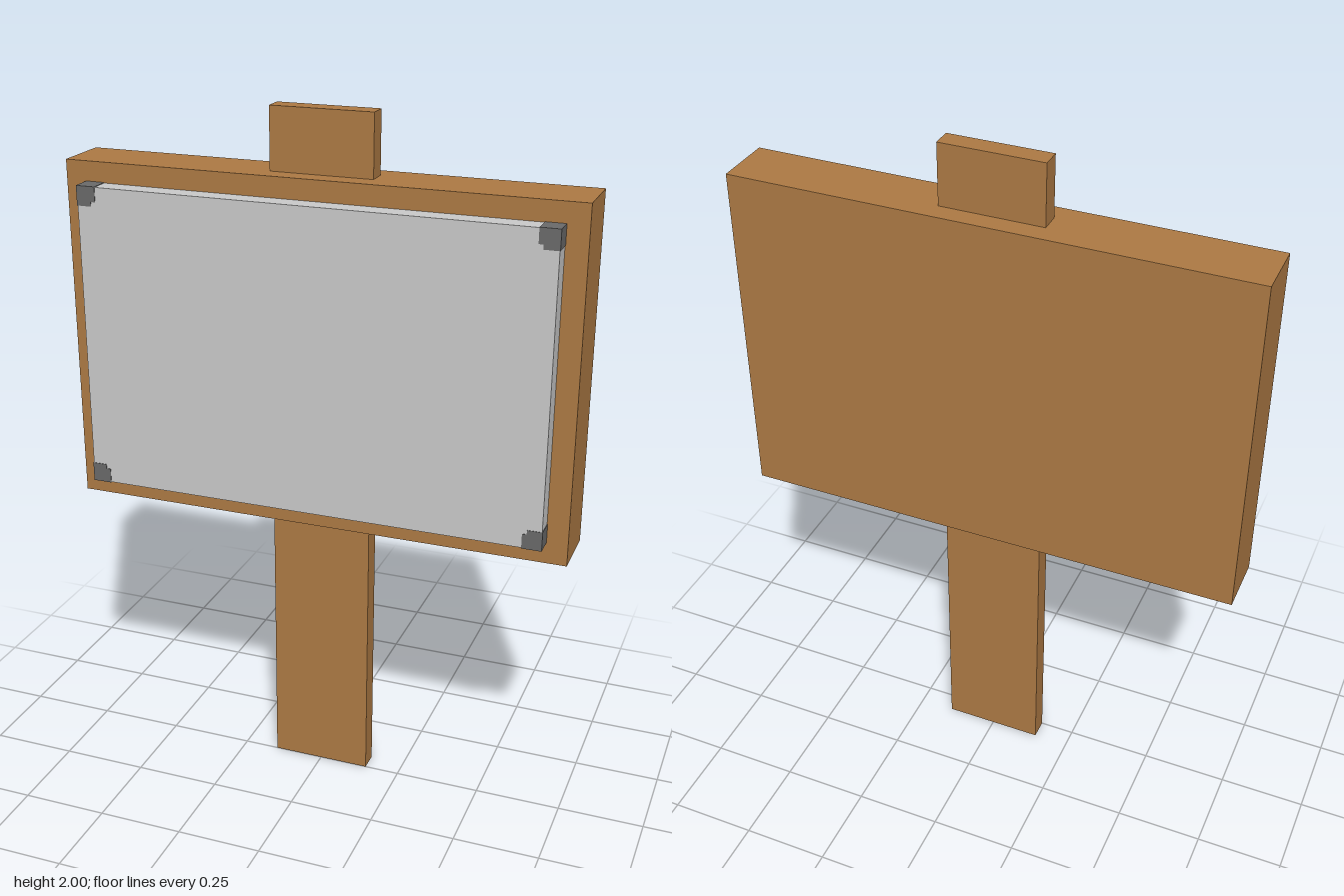
import * as THREE from 'three';

export function createModel() {
  const model = new THREE.Group();
  model.name = 'signpost';
  const material = (name, color) => {
    const m = new THREE.MeshStandardMaterial({ color });
    m.name = name;
    return m;
  };
  const wood = material('wood', 0xad7a44);
  const paper = material('pale grey', 0xcacaca);
  const metal = material('dark grey', 0x6a6a6a);

  // Box given by its lower and upper limits on each axis
  const box = (name, mat, [x0, x1], [y0, y1], [z0, z1]) => {
    const mesh = new THREE.Mesh(new THREE.BoxGeometry(x1 - x0, y1 - y0, z1 - z0), mat);
    mesh.position.set((x0 + x1) / 2, (y0 + y1) / 2, (z0 + z1) / 2);
    mesh.name = name;
    model.add(mesh);
  };

  // Post running behind the board, the board itself and the raised sheet
  box('post', wood, [-0.147, 0.147], [0, 2], [-0.057, 0]);
  box('board', wood, [-0.735, 0.735], [0.825, 1.825], [-0.115, 0.057]);
  box('sheet', paper, [-0.674, 0.674], [0.888, 1.767], [0.05, 0.114]);

  // Corner brackets, each with a small notch on its inner corner
  const s = 0.056, n = 0.013;
  for (const sx of [-1, 1]) {
    for (const sy of [-1, 1]) {
      const corner = [[0, 0], [s, 0], [s, s - n], [s - n, s - n], [s - n, s], [0, s]]
        .map(([x, y]) => new THREE.Vector2(-sx * x, -sy * y));
      const geometry = new THREE.ExtrudeGeometry(new THREE.Shape(corner), { depth: 0.0655, bevelEnabled: false });
      const bracket = new THREE.Mesh(geometry, metal);
      bracket.position.set(sx * 0.6755, sy > 0 ? 1.7685 : 0.8865, 0.05);
      bracket.name = (sy > 0 ? 'upper' : 'lower') + (sx > 0 ? 'Left' : 'Right') + 'Bracket';
      model.add(bracket);
    }
  }
  return model;
}
